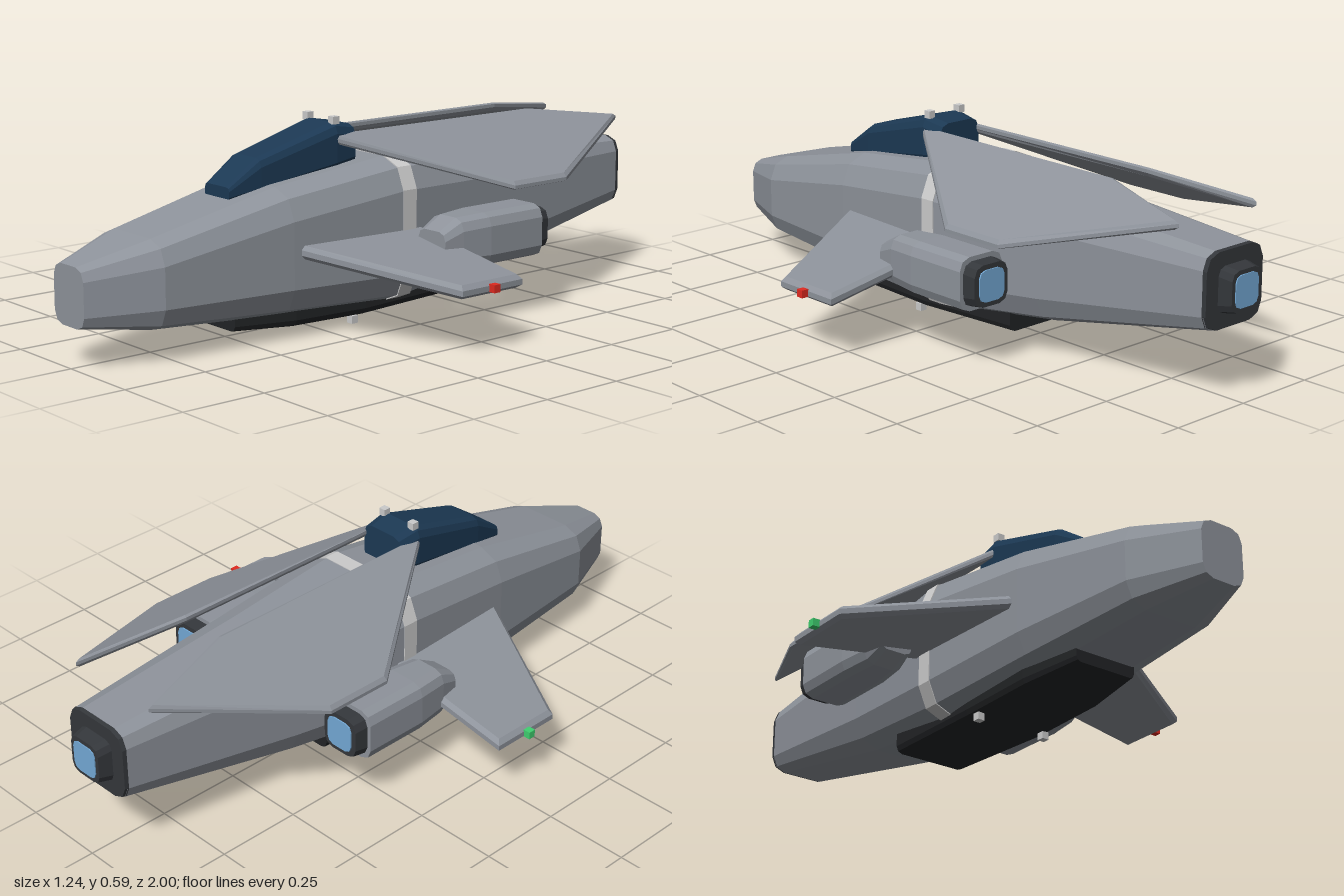
import * as THREE from 'three';

const mat = (color) => new THREE.MeshStandardMaterial({ color, flatShading: true });

// Twelve-point rectangle with rounded corners, counter-clockwise seen from +z
function ring([z, hw, y0, y1, cut], cx) {
  const cy = (y0 + y1) / 2, hh = (y1 - y0) / 2, points = [];
  for (let q = 0; q < 4; q++) {
    const sx = q === 0 || q === 3 ? 1 : -1, sy = q < 2 ? 1 : -1;
    for (let k = 0; k < 3; k++) {
      const a = q * Math.PI / 2 + k * Math.PI / 4;
      points.push([cx + sx * (hw - cut) + cut * Math.cos(a), cy + sy * (hh - cut) + cut * Math.sin(a), z]);
    }
  }
  return points;
}

// Closed body through sections [z, halfWidth, bottom, top, cornerCut], ordered front to back
function loft(sections, cx = 0) {
  const rings = sections.map((s) => ring(s, cx));
  const n = 12, last = rings.length - 1, pos = [];
  const tri = (a, b, c) => pos.push(...a, ...b, ...c);
  for (let i = 0; i < last; i++) {
    for (let j = 0; j < n; j++) {
      const k = (j + 1) % n;
      tri(rings[i][j], rings[i + 1][j], rings[i][k]);
      tri(rings[i][k], rings[i + 1][j], rings[i + 1][k]);
    }
  }
  for (let j = 1; j < n - 1; j++) {
    tri(rings[0][0], rings[0][j], rings[0][j + 1]);
    tri(rings[last][0], rings[last][j + 1], rings[last][j]);
  }
  const geo = new THREE.BufferGeometry();
  geo.setAttribute('position', new THREE.Float32BufferAttribute(pos, 3));
  geo.computeVertexNormals();
  return geo;
}

// Bevelled plate with an [x, z] outline, sloped by a height rule
function plate(outline, side, thickness, bevel, height) {
  const shape = new THREE.Shape(outline.map(([x, z]) => new THREE.Vector2(side * x, -z)));
  const bt = thickness * 0.3;
  const geo = new THREE.ExtrudeGeometry(shape, {
    depth: thickness - 2 * bt, bevelEnabled: true, bevelSegments: 1,
    bevelThickness: bt, bevelSize: bevel, bevelOffset: -bevel,
  });
  geo.rotateX(-Math.PI / 2);
  geo.translate(0, bt - thickness / 2, 0);
  const p = geo.attributes.position;
  for (let i = 0; i < p.count; i++) p.setY(i, p.getY(i) + height(Math.abs(p.getX(i))));
  geo.computeVertexNormals();
  return geo;
}

export function createModel() {
  const model = new THREE.Group();
  model.name = 'spacecraft';
  const hull = mat(0x8e939b), dark = mat(0x34373b), black = mat(0x222426);
  const glass = mat(0x1c3954), glow = mat(0x74a9d6), pale = mat(0xcccccc);
  const red = mat(0xe02a20), green = mat(0x3fd070);
  const add = (name, geo, material) => {
    const mesh = new THREE.Mesh(geo, material);
    mesh.name = name;
    model.add(mesh);
    return mesh;
  };
  const lamp = (name, x, y, z, material) =>
    add(name, new THREE.BoxGeometry(0.022, 0.022, 0.022), material).position.set(x, y, z);

  // Hull with its pale band and belly plate
  add('fuselage', loft([
    [1, 0.07, 0.115, 0.28, 0.035],
    [0.8, 0.15, 0.09, 0.335, 0.065],
    [0.4, 0.186, 0.066, 0.425, 0.085],
    [0.02, 0.204, 0.05, 0.47, 0.09],
    [-0.02, 0.204, 0.052, 0.47, 0.09],
    [-0.4, 0.165, 0.097, 0.45, 0.08],
    [-0.95, 0.11, 0.203, 0.415, 0.045],
  ]), hull);
  add('hullBand', loft([
    [0.024, 0.206, 0.048, 0.472, 0.09],
    [-0.024, 0.206, 0.048, 0.472, 0.09],
  ]), pale);
  add('bellyPlate', loft([
    [0.54, 0.1, 0.04, 0.1, 0.015],
    [0.35, 0.13, 0.028, 0.1, 0.02],
    [0.1, 0.132, 0.022, 0.1, 0.02],
    [-0.25, 0.12, 0.031, 0.12, 0.02],
  ]), black);

  // Cockpit canopy
  add('canopy', loft([
    [0.52, 0.055, 0.39, 0.43, 0.012],
    [0.42, 0.068, 0.395, 0.5, 0.025],
    [0.16, 0.08, 0.43, 0.572, 0.03],
    [0.09, 0.074, 0.44, 0.56, 0.03],
  ]), glass);

  // Main engine
  add('tailFrame', loft([
    [-0.945, 0.111, 0.203, 0.416, 0.045],
    [-0.957, 0.109, 0.205, 0.414, 0.045],
  ]), dark);
  add('tailNozzle', loft([
    [-0.95, 0.065, 0.245, 0.375, 0.025],
    [-0.997, 0.056, 0.253, 0.367, 0.025],
  ]), dark);
  add('tailGlow', loft([
    [-0.99, 0.044, 0.265, 0.355, 0.02],
    [-1, 0.044, 0.265, 0.355, 0.02],
  ]), glow);

  for (const side of [1, -1]) {
    const label = side > 0 ? 'left' : 'right';
    const cx = side * 0.313;

    // Lower wing
    add(label + 'LowerWing', plate(
      [[0.16, 0.39], [0.6, 0.165], [0.6, -0.055], [0.16, -0.055]],
      side, 0.038, 0.012, (x) => 0.25 - 0.172 * (x - 0.2)), hull);

    // Raised swept wing
    add(label + 'UpperWing', plate(
      [[0.066, 0.18], [0.366, -0.255], [0.366, -0.46], [0.15, -0.895], [0.066, -0.585]],
      side, 0.025, 0.009, (x) => 0.53 - 0.5 * (x - 0.066)), hull);

    // Engine pod
    add(label + 'Pod', loft([
      [0.015, 0.055, 0.2, 0.285, 0.025],
      [-0.045, 0.066, 0.173, 0.318, 0.035],
      [-0.14, 0.077, 0.17, 0.322, 0.035],
      [-0.34, 0.077, 0.17, 0.322, 0.035],
    ], cx), hull);
    add(label + 'PodNozzle', loft([
      [-0.33, 0.066, 0.182, 0.31, 0.03],
      [-0.38, 0.06, 0.187, 0.305, 0.03],
    ], cx), dark);
    add(label + 'PodGlow', loft([
      [-0.375, 0.045, 0.201, 0.291, 0.022],
      [-0.384, 0.045, 0.201, 0.291, 0.022],
    ], cx), glow);

    // Small lamps
    lamp(label + 'WingLamp', side * 0.609, 0.183, 0.057, side > 0 ? red : green);
    lamp(label + 'CanopyLamp', side * 0.057, 0.578, 0.155, pale);
    lamp(label + 'BellyLamp', side * 0.113, 0.013, 0.135, pale);
  }
  return model;
}
